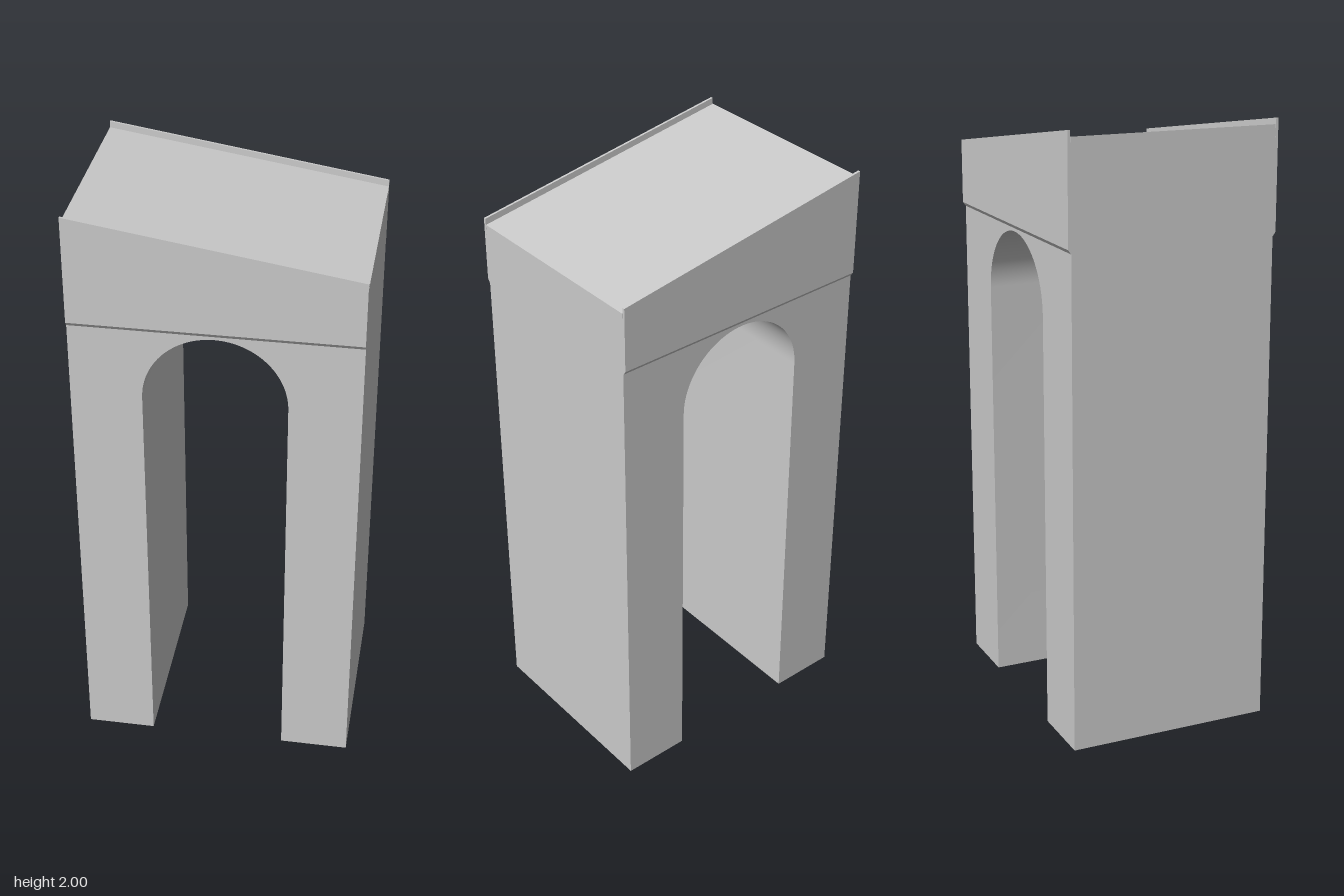
import * as THREE from 'three';
import { toCreasedNormals } from 'three/addons/utils/BufferGeometryUtils.js';

const HALF_W = 0.458, HALF_D = 0.342;
const SLOPE = -0.155;            // fall of the deck along x
const DECK_Y = 1.909;            // deck height at x = 0
const PARAPET_Y = 1.929;         // parapet height at x = 0
const ARCH_R = 0.229, SPRING_Y = 1.392;

const material = new THREE.MeshStandardMaterial({ color: 0xcccccc });

// Pier pair, arch and sloping deck as one extruded outline
function makeBody() {
  const s = new THREE.Shape();
  s.moveTo(-HALF_W, 0);
  s.lineTo(-ARCH_R, 0);
  s.lineTo(-ARCH_R, SPRING_Y);
  s.absarc(0, SPRING_Y, ARCH_R, Math.PI, 0, true);
  s.lineTo(ARCH_R, 0);
  s.lineTo(HALF_W, 0);
  s.lineTo(HALF_W, DECK_Y + SLOPE * HALF_W);
  s.lineTo(-HALF_W, DECK_Y - SLOPE * HALF_W);
  s.closePath();
  const g = new THREE.ExtrudeGeometry(s, { depth: 2 * HALF_D, bevelEnabled: false, curveSegments: 32 });
  g.translate(0, 0, -HALF_D);
  const mesh = new THREE.Mesh(toCreasedNormals(g, 0.5), material);
  mesh.name = 'archBody';
  return mesh;
}

// Thin parapet: section with a chamfered lower edge, swept along x, top sheared to the slope
function makeParapet(side, name) {
  const section = [
    [0.340, 1.632], [0.343, 1.632], [0.352, 1.645],
    [0.352, PARAPET_Y], [0.344, PARAPET_Y], [0.340, 1.8],
  ];
  const shape = new THREE.Shape(section.map(([z, y]) => new THREE.Vector2(-side * z, y)));
  const g = new THREE.ExtrudeGeometry(shape, { depth: 2 * HALF_W, bevelEnabled: false });
  g.translate(0, 0, -HALF_W);
  g.rotateY(Math.PI / 2);
  const p = g.attributes.position;
  for (let i = 0; i < p.count; i++) {
    if (p.getY(i) > 1.85) p.setY(i, p.getY(i) + SLOPE * p.getX(i));
    else if (p.getY(i) > 1.7) p.setY(i, 1.8 + SLOPE * p.getX(i));
  }
  g.computeVertexNormals();
  const mesh = new THREE.Mesh(g, material);
  mesh.name = name;
  return mesh;
}

export function createModel() {
  const group = new THREE.Group();
  group.name = 'archway';
  group.add(makeBody(), makeParapet(1, 'frontParapet'), makeParapet(-1, 'backParapet'));
  return group;
}
